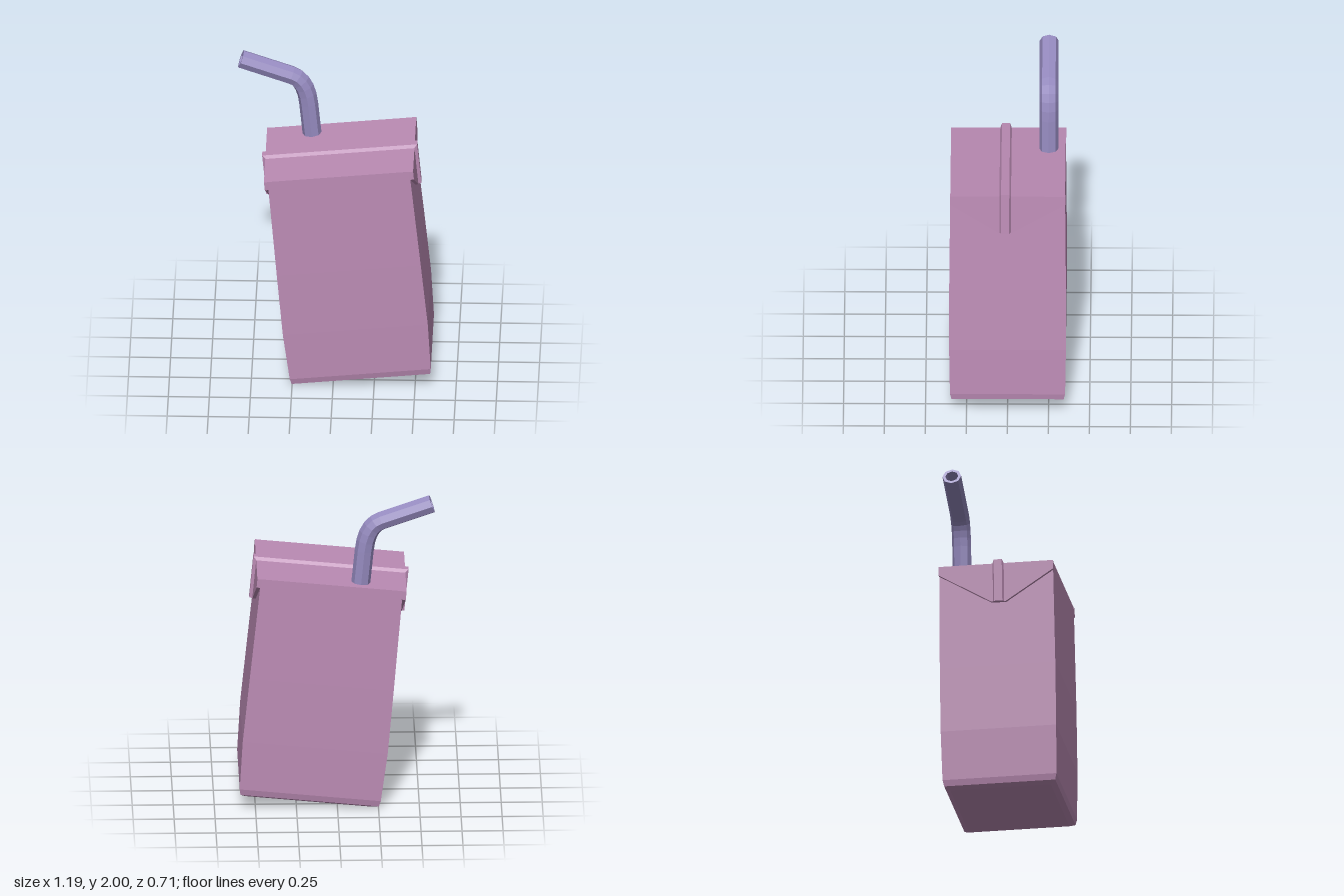
import * as THREE from 'three';

const carton = new THREE.MeshStandardMaterial({ color: 0xbb8bb4 });
carton.name = 'carton pink';
const plastic = new THREE.MeshStandardMaterial({ color: 0x958abf });
plastic.name = 'straw violet';

const TILT = 0.097; // lean of the box
const CX = 0.175; // box centre in its own leaning frame

// Joins equal rings of points into a closed, flat-shaded skin with end caps
function loft(rings) {
  const pos = [];
  const tri = (a, b, c) => pos.push(...a, ...b, ...c);
  const n = rings[0].length;
  for (let i = 0; i < rings.length - 1; i++) {
    for (let j = 0; j < n; j++) {
      const k = (j + 1) % n;
      const [a, b, c, d] = [rings[i][j], rings[i][k], rings[i + 1][k], rings[i + 1][j]];
      tri(a, b, c);
      tri(a, c, d);
    }
  }
  const end = rings[rings.length - 1];
  for (let j = 1; j < n - 1; j++) {
    tri(rings[0][0], rings[0][j + 1], rings[0][j]);
    tri(end[0], end[j], end[j + 1]);
  }
  const g = new THREE.BufferGeometry();
  g.setAttribute('position', new THREE.Float32BufferAttribute(pos, 3));
  g.computeVertexNormals();
  return g;
}

function addMesh(parent, name, geometry, material) {
  const m = new THREE.Mesh(geometry, material);
  m.name = name;
  parent.add(m);
  return m;
}

function createBox() {
  const box = new THREE.Group();
  box.name = 'box';

  // Slightly bulging body: height, half width, half depth
  const body = [
    [0.025, 0.39, 0.31], [0.042, 0.424, 0.342], [0.08, 0.432, 0.351],
    [0.39, 0.444, 0.356], [0.8, 0.441, 0.356], [1.45, 0.434, 0.35],
  ];
  addMesh(box, 'body', loft(body.map(([y, w, d]) => [
    [CX - w, y, d], [CX + w, y, d], [CX + w, y, -d], [CX - w, y, -d],
  ])), carton);

  // Folded side flaps
  const outline = new THREE.Shape([
    [-0.352, 1.45], [-0.352, 1.395], [-0.03, 1.205],
    [0.06, 1.205], [0.352, 1.395], [0.352, 1.45],
  ].map(([z, y]) => new THREE.Vector2(z, y)));
  for (const side of [-1, 1]) {
    const flap = new THREE.ExtrudeGeometry(outline, { depth: 0.026, bevelEnabled: false });
    flap.rotateY(-Math.PI / 2);
    flap.translate(CX + side * 0.444 + 0.013, 0, 0);
    addMesh(box, side > 0 ? 'leftFlap' : 'rightFlap', flap, carton);
  }

  // Chamfered seam running up one flap, over the top and down the other
  const zc = 0.015;
  const seam = [
    [0.45, 1.203, 0.475, 1.203], [0.45, 1.445, 0.475, 1.47],
    [-0.45, 1.445, -0.475, 1.47], [-0.45, 1.203, -0.475, 1.203],
  ];
  addMesh(box, 'topSeam', loft(seam.map(([bx, by, ox, oy]) => [
    [CX + bx, by, zc + 0.038], [CX + ox, oy, zc + 0.025],
    [CX + ox, oy, zc - 0.025], [CX + bx, by, zc - 0.038],
  ])), carton);

  box.rotation.z = TILT;
  return box;
}

function createStraw() {
  const z = -0.247;
  const bend = new THREE.QuadraticBezierCurve(
    new THREE.Vector2(-0.165, 1.65),
    new THREE.Vector2(-0.181, 1.81),
    new THREE.Vector2(-0.27, 1.84),
  );
  // Octagon across the path at point p with direction t
  const ring = (p, t, r) => Array.from({ length: 8 }, (_, i) => {
    const a = (i / 8) * Math.PI * 2;
    const c = r * Math.cos(a);
    return [p.x + t.y * c, p.y - t.x * c, z - r * Math.sin(a)];
  });
  const R = 0.058, BORE = 0.04;
  const t0 = bend.getTangent(0), t1 = bend.getTangent(1);
  const tip = new THREE.Vector2(-0.577, 1.947);
  const rings = [ring(new THREE.Vector2(-0.14, 1.4), t0, R)];
  for (let i = 0; i <= 5; i++) rings.push(ring(bend.getPoint(i / 5), bend.getTangent(i / 5), R));
  // Open end: outer rim, inner rim, then back down the bore
  rings.push(ring(tip, t1, R), ring(tip, t1, BORE), ring(bend.getPoint(1), t1, BORE));
  return loft(rings);
}

export function createModel() {
  const model = new THREE.Group();
  model.name = 'drinkCarton';
  model.add(createBox());
  addMesh(model, 'straw', createStraw(), plastic);
  return model;
}
